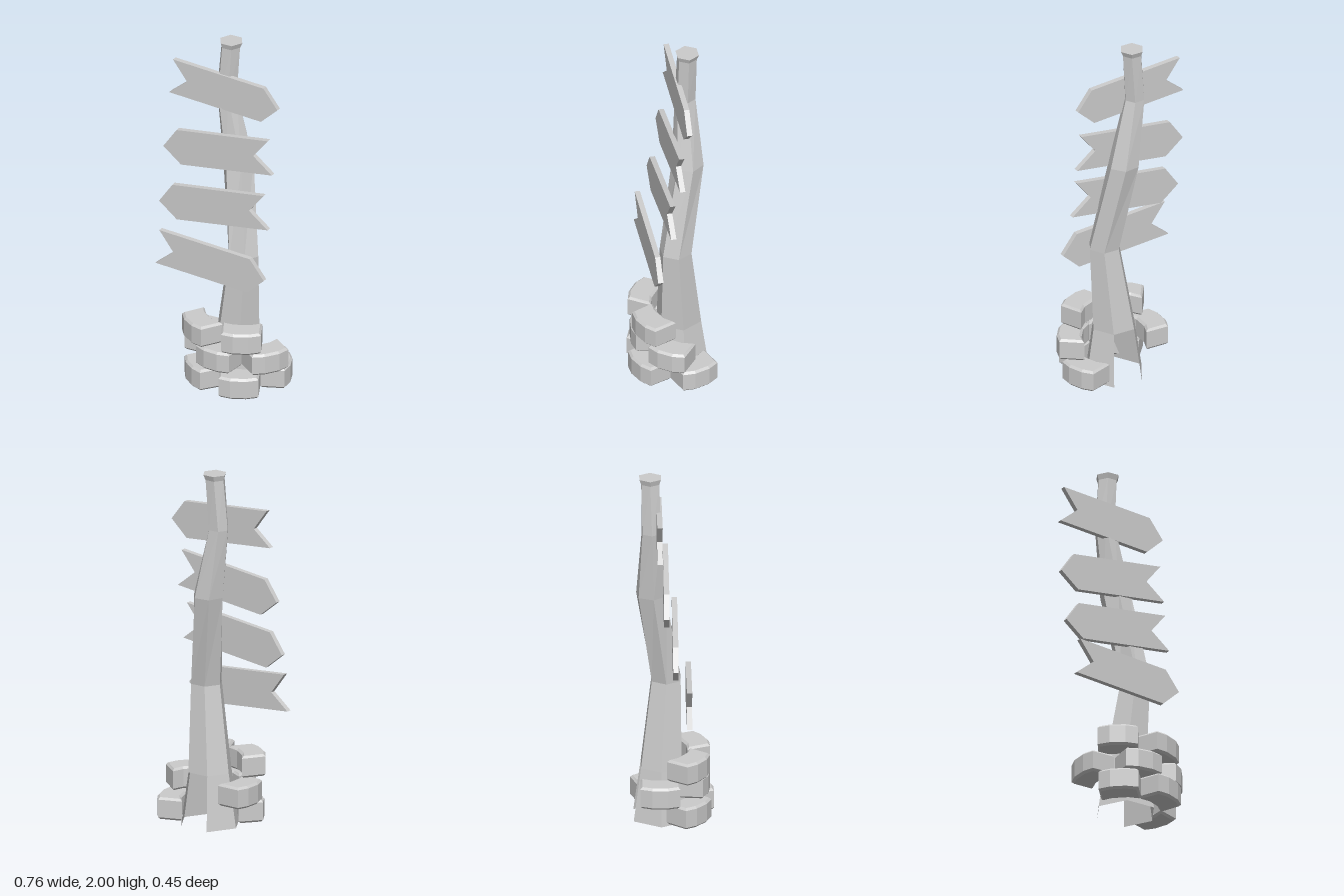
import * as THREE from 'three';

const grey = () => new THREE.MeshStandardMaterial({ color: 0xcccccc, flatShading: true });

function add(parent, name, geometry, material = grey()) {
  const mesh = new THREE.Mesh(geometry, material);
  mesh.name = name;
  parent.add(mesh);
  return mesh;
}

// Crooked six-sided post, open underneath and at the foot of its back panel
function postGeometry() {
  const sections = [ // y, centre x, centre z, radius, twist in degrees
    [0, 0.055, -0.06, 0.172, 0],
    [0.3, 0.057, -0.06, 0.126, 0],
    [0.78, 0.1, -0.033, 0.09, 0],
    [1.3, 0.027, -0.114, 0.087, -8],
    [1.69, -0.042, -0.114, 0.058, -3],
    [1.97, -0.022, -0.12, 0.056, 0],
    [2, -0.02, -0.121, 0.067, 0],
  ];
  const corner = (k, i) => {
    const [y, cx, cz, r, twist] = sections[k];
    const a = THREE.MathUtils.degToRad((i % 6) * 60 + twist);
    return [cx + r * Math.cos(a), y, cz + r * Math.sin(a)];
  };
  const pos = [];
  const last = sections.length - 1;
  for (let k = 0; k < last; k++) {
    for (let i = 0; i < 6; i++) {
      if (k === 0 && i === 4) continue; // open back panel
      const a = corner(k, i), b = corner(k, i + 1);
      const c = corner(k + 1, i + 1), d = corner(k + 1, i);
      pos.push(...a, ...d, ...b, ...b, ...d, ...c);
    }
  }
  const [ty, tx, tz] = sections[last];
  for (let i = 0; i < 6; i++) pos.push(tx, ty, tz, ...corner(last, i + 1), ...corner(last, i));
  const g = new THREE.BufferGeometry();
  g.setAttribute('position', new THREE.Float32BufferAttribute(pos, 3));
  g.computeVertexNormals();
  return g;
}

// Arrow board with a swallow-tail notch
function boardGeometry(points, thickness) {
  const shape = new THREE.Shape(points.map(([x, y]) => new THREE.Vector2(x, y)));
  return new THREE.ExtrudeGeometry(shape, { depth: thickness, bevelEnabled: false });
}

// Bowed stone block with parallel ends and chamfered edges, its outer side facing +x
function stoneGeometry() {
  const halfWidth = 0.108, depth = 0.135, bow = 0.027, height = 0.123, bevel = 0.012;
  const ts = [-1, -0.4, 0.4, 1];
  const curve = (x, t) => new THREE.Vector2(x + bow * (1 - t * t), t * halfWidth);
  const outline = [...ts.map((t) => curve(0, t)), ...ts.map((t) => curve(-depth, -t))];
  const g = new THREE.ExtrudeGeometry(new THREE.Shape(outline), {
    depth: height - 2 * bevel, bevelThickness: bevel, bevelSize: bevel,
    bevelOffset: -bevel, bevelSegments: 1,
  });
  g.rotateX(Math.PI / 2);
  g.translate(0, height - bevel, 0);
  return g;
}

export function createModel() {
  const model = new THREE.Group();
  model.name = 'signpost';

  const postMaterial = grey();
  postMaterial.side = THREE.DoubleSide;
  add(model, 'post', postGeometry(), postMaterial);

  // Arrow boards, outlines relative to the board's height
  const toRight = [[-0.34, 0.12], [-0.255, 0.005], [-0.363, -0.084], [0.193, -0.13], [0.293, -0.037], [0.208, 0.075]];
  const toLeft = [[0.253, 0.13], [-0.3, 0.065], [-0.38, -0.05], [-0.273, -0.138], [0.278, -0.072], [0.165, 0.02]];
  const boards = [ // outline, y, back z
    [toRight, 1.717, -0.086],
    [toLeft, 1.37, -0.05],
    [toLeft, 1.06, -0.001],
    [toRight, 0.755, 0.073],
  ];
  const boardGroup = new THREE.Group();
  boardGroup.name = 'arrowBoards';
  boards.forEach(([outline, y, z], i) => {
    add(boardGroup, `arrowBoard${i + 1}`, boardGeometry(outline, 0.029)).position.set(0, y, z);
  });
  model.add(boardGroup);

  // Three courses of stones around the foot
  const courses = [ // base y, then stones: x, z, facing in degrees from +x towards +z
    [0.019, [[0.182, 0.183, 67], [-0.12, 0.139, 130], [0.318, -0.124, -20]]],
    [0.151, [[0.02, 0.176, 97], [0.311, 0.06, 37], [-0.217, -0.068, 181]]],
    [0.278, [[-0.125, 0.14, 125], [0.185, 0.16, 66]]],
  ];
  const stones = new THREE.Group();
  stones.name = 'stoneBase';
  const stone = stoneGeometry();
  courses.forEach(([y, list], c) => list.forEach(([x, z, facing], i) => {
    const mesh = add(stones, `stone${c + 1}_${i + 1}`, stone);
    mesh.position.set(x, y, z);
    mesh.rotation.y = -THREE.MathUtils.degToRad(facing);
  }));
  model.add(stones);

  return model;
}
